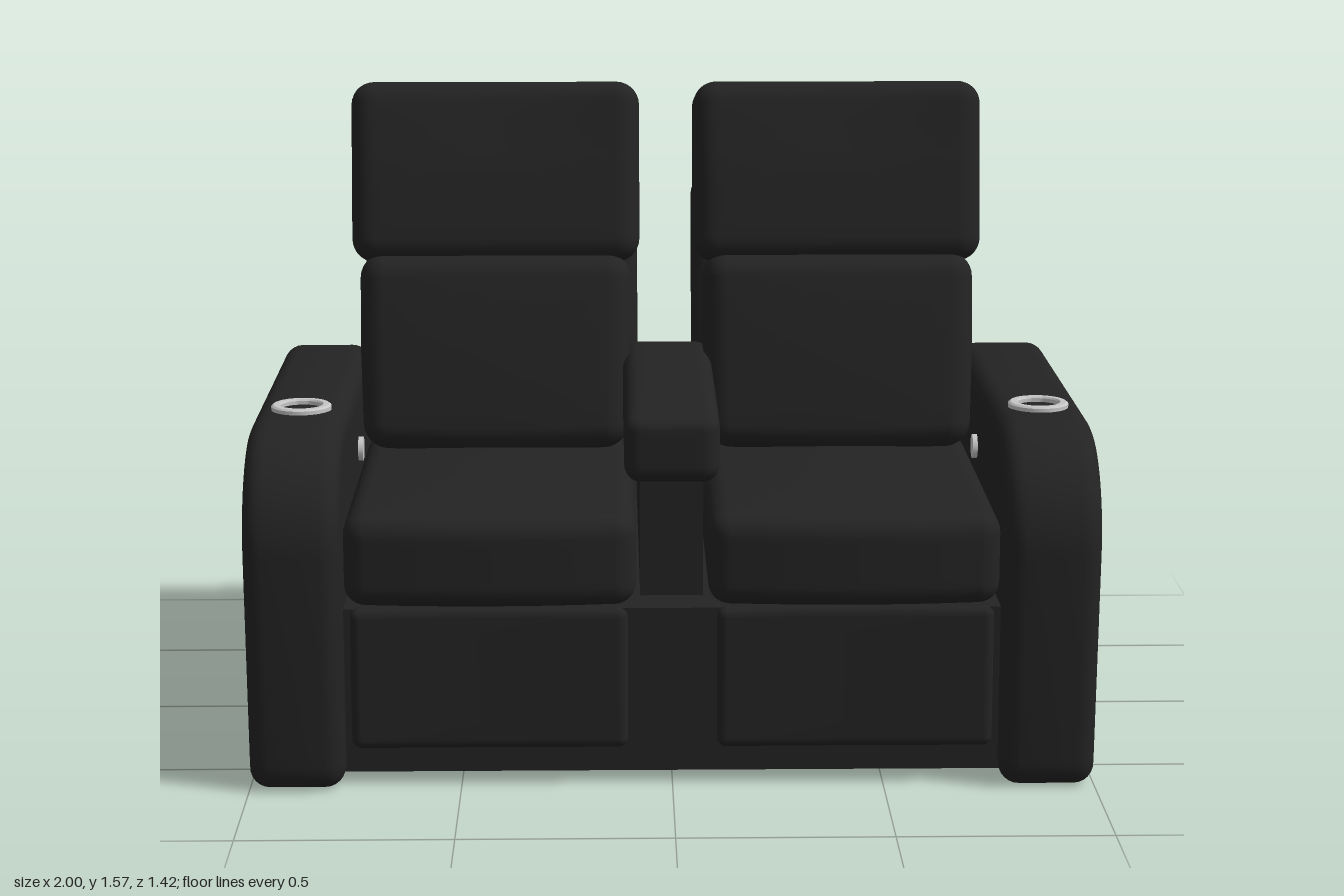
import * as THREE from 'three';
import { mergeVertices, toCreasedNormals } from 'three/addons/utils/BufferGeometryUtils.js';

const leather = new THREE.MeshStandardMaterial({ color: 0x232323 });
leather.name = 'black leather';
const silver = new THREE.MeshStandardMaterial({ color: 0xc6c6c6 });
silver.name = 'silver trim';

// Rounded box with a subdivided surface; deform(p, u, v, w) gets coordinates in -1..1
function cushionGeometry(width, height, depth, radius, deform) {
  const seg = 16;
  const geo = new THREE.BoxGeometry(2, 2, 2, seg, seg, seg);
  geo.deleteAttribute('uv');
  geo.deleteAttribute('normal');
  const half = new THREE.Vector3(width / 2, height / 2, depth / 2);
  const pos = geo.attributes.position;
  const p = new THREE.Vector3(), core = new THREE.Vector3();
  // half of the segments go to the rounded edges
  const spread = (t, h) => {
    const a = Math.abs(t), inner = h - radius;
    return Math.sign(t) * (a < 0.5 ? a * 2 * inner : inner + (a - 0.5) * 2 * radius);
  };
  for (let i = 0; i < pos.count; i++) {
    p.fromBufferAttribute(pos, i);
    p.set(spread(p.x, half.x), spread(p.y, half.y), spread(p.z, half.z));
    for (const k of ['x', 'y', 'z']) {
      core[k] = THREE.MathUtils.clamp(p[k], radius - half[k], half[k] - radius);
    }
    p.sub(core).setLength(radius).add(core);
    if (deform) deform(p, p.x / half.x, p.y / half.y, p.z / half.z);
    pos.setXYZ(i, p.x, p.y, p.z);
  }
  const merged = mergeVertices(geo, 1e-5);
  merged.computeVertexNormals();
  return merged;
}

// Side profile of the arm, drawn as (z, y) and extruded across x
function armGeometry() {
  const s = new THREE.Shape();
  s.moveTo(-0.42, 0);
  s.lineTo(0.62, 0);
  s.quadraticCurveTo(0.677, 0, 0.68, 0.07);
  s.lineTo(0.712, 0.58);
  s.bezierCurveTo(0.715, 0.73, 0.60, 0.855, 0.43, 0.855);
  s.lineTo(-0.42, 0.855);
  s.quadraticCurveTo(-0.482, 0.855, -0.482, 0.793);
  s.lineTo(-0.482, 0.062);
  s.quadraticCurveTo(-0.482, 0, -0.42, 0);
  const geo = new THREE.ExtrudeGeometry(s, {
    depth: 0.13, bevelEnabled: true, bevelThickness: 0.048, bevelSize: 0.048,
    bevelOffset: -0.048, bevelSegments: 6, curveSegments: 14,
  });
  geo.translate(0, 0, -0.065);
  geo.rotateY(-Math.PI / 2);
  return toCreasedNormals(geo, 0.7);
}

export function createModel() {
  const model = new THREE.Group();
  const add = (name, geo, mat, x, y, z, tilt = 0) => {
    const mesh = new THREE.Mesh(geo, mat);
    mesh.name = name;
    mesh.position.set(x, y, z);
    mesh.rotation.x = tilt;
    model.add(mesh);
  };

  // Base between the arms
  add('base', new THREE.BoxGeometry(1.6, 0.4, 1.05), leather, 0, 0.23, 0.085);

  // Centre console and its padded armrest, sloping down at the front
  add('console', new THREE.BoxGeometry(0.15, 0.32, 0.9), leather, 0, 0.58, 0.05);
  add('consoleArmrest', cushionGeometry(0.225, 0.18, 0.85, 0.04, (p, u, v, w) => {
    if (v > 0 && w > 0) p.y -= 0.022 * w * w * w * v;
  }), leather, 0, 0.81, 0.155);

  // Shared upholstery shapes
  const seat = cushionGeometry(0.69, 0.22, 0.92, 0.05, (p, u, v, w) => {
    const crown = (1 - u * u) * (1 - w * w);
    if (v > 0) p.y += 0.015 * crown * v;
    if (w > 0) p.z += 0.025 * (1 - u * u) * w;
  });
  const footrest = cushionGeometry(0.655, 0.345, 0.05, 0.024, (p, u, v, w) => {
    if (w > 0) p.z -= 0.006 * (1 - u * u) * w;
  });
  const lowerBack = cushionGeometry(0.685, 0.49, 0.27, 0.06, (p, u, v, w) => {
    if (w > 0) p.z += 0.012 * (1 - u * u) * (1 - v * v);
    p.x *= 1 - 0.02 * Math.max(0, -v);
    if (v < 0) p.y -= 0.012 * (1 - u * u);
  });
  const headrest = cushionGeometry(0.73, 0.465, 0.265, 0.06, (p, u, v, w) => {
    if (w > 0) p.z -= 0.03 * (1 - u * u) * w * Math.max(0, v);
    if (v > 0) p.y -= 0.012 * (1 - w * w) * v;
  });
  const backPanel = cushionGeometry(0.72, 1.11, 0.152, 0.05);
  const arm = armGeometry();

  // Cup holder ring with a flat rim and a small recliner button
  const ring = toCreasedNormals(new THREE.LatheGeometry(
    [[0.05, -0.005], [0.072, -0.005], [0.072, 0.008], [0.067, 0.012], [0.053, 0.012], [0.05, 0.008], [0.05, -0.005]]
      .map(([r, y]) => new THREE.Vector2(r, y)), 40), 0.6);
  const button = new THREE.CylinderGeometry(0.03, 0.03, 0.02, 24);
  button.rotateZ(Math.PI / 2);

  for (const [side, s] of [['left', 1], ['right', -1]]) {
    add(side + 'Seat', seat, leather, s * 0.43, 0.54, 0.15);
    add(side + 'Footrest', footrest, leather, s * 0.432, 0.26, 0.603);
    add(side + 'LowerBack', lowerBack, leather, s * 0.435, 0.885, -0.215, -0.18);
    add(side + 'Headrest', headrest, leather, s * 0.434, 1.332, -0.308, -0.18);
    add(side + 'BackPanel', backPanel, leather, s * 0.432, 0.725, -0.55, -0.168);
    add(side + 'Arm', arm, leather, s * 0.887, 0, 0);
    add(side + 'CupHolderRing', ring, silver, s * 0.885, 0.856, 0.35);
    add(side + 'ReclinerButton', button, silver, s * 0.772, 0.685, 0.04);
  }
  return model;
}
